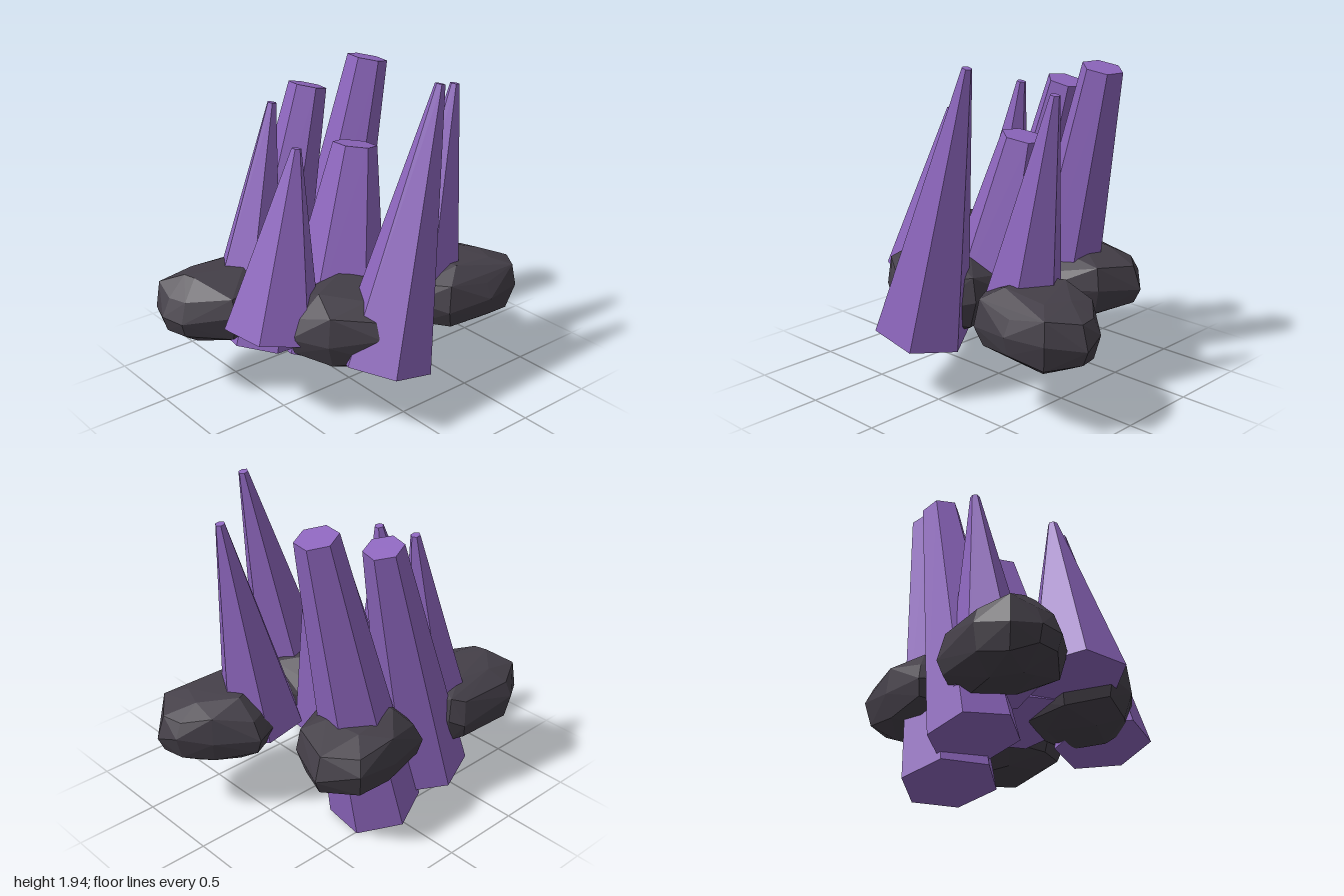
import * as THREE from 'three';
import { ConvexGeometry } from 'three/addons/geometries/ConvexGeometry.js';

const UP = new THREE.Vector3(0, 1, 0);

// Six-sided tapering crystal running from base centre to top centre, turned about its own axis
function crystal(name, base, top, rBase, rTop, turnDeg, material) {
  const a = new THREE.Vector3(...base);
  const b = new THREE.Vector3(...top);
  const axis = b.clone().sub(a);
  const geometry = new THREE.CylinderGeometry(rTop, rBase, axis.length(), 6);
  geometry.rotateY(THREE.MathUtils.degToRad(turnDeg));
  const mesh = new THREE.Mesh(geometry, material);
  mesh.name = name;
  mesh.quaternion.setFromUnitVectors(UP, axis.normalize());
  mesh.position.copy(a.add(b).multiplyScalar(0.5));
  return mesh;
}

// Faceted boulder: a plan outline stacked as shrinking rings, wrapped in a convex hull
function boulder(name, outline, yMin, yMax, material) {
  const n = outline.length;
  const cx = outline.reduce((s, p) => s + p[0], 0) / n;
  const cz = outline.reduce((s, p) => s + p[1], 0) / n;
  const midY = (yMin + yMax) / 2;
  const half = (yMax - yMin) / 2;
  const rings = [[-0.95, 0.52], [-0.58, 0.88], [0, 1], [0.58, 0.89], [0.95, 0.52]];
  const points = [];
  rings.forEach(([h, scale], r) => {
    for (let i = 0; i < n; i++) {
      // thin out the caps and wobble each ring so the facets stay irregular
      if ((r === 0 || r === 4) && (i + r) % 2) continue;
      const wobble = Math.sin(i * 2.4 + r * 1.7);
      const k = r === 2 ? 1 : scale + 0.04 * wobble;
      const y = midY + half * THREE.MathUtils.clamp(h + 0.12 * wobble, -1, 1);
      points.push(new THREE.Vector3(cx + (outline[i][0] - cx) * k, y, cz + (outline[i][1] - cz) * k));
    }
  });
  const mesh = new THREE.Mesh(new ConvexGeometry(points), material);
  mesh.name = name;
  return mesh;
}

export function createModel() {
  const purple = new THREE.MeshStandardMaterial({ color: 0x8d66bd, flatShading: true });
  purple.name = 'crystal purple';
  const charcoal = new THREE.MeshStandardMaterial({ color: 0x443f48, flatShading: true });
  charcoal.name = 'charcoal rock';

  const model = new THREE.Group();
  model.name = 'crystalCluster';

  // Blunt crystals, then pointed ones: base, top, base radius, top radius, turn
  const crystals = [
    ['bluntCrystalTall', [0.03, 0.058, -0.408], [0.447, 1.872, -0.37], 0.27, 0.12, -8],
    ['bluntCrystalBack', [-0.33, 0.197, -0.463], [0.083, 1.745, -0.485], 0.252, 0.113, -12],
    ['bluntCrystalMiddle', [-0.09, 0.44, -0.03], [0.115, 1.478, -0.085], 0.312, 0.13, -5],
    ['pointedCrystalRight', [-0.568, 0.54, 0.01], [-0.375, 1.585, 0.007], 0.282, 0.028, 8],
    ['pointedCrystalBackRight', [-0.46, 0.42, -0.43], [-0.22, 1.71, -0.425], 0.24, 0.028, 28],
    ['pointedCrystalFront', [-0.145, 0.39, 0.48], [0.232, 1.94, 0.478], 0.28, 0.029, 33],
    ['pointedCrystalLeft', [0.365, 0.5, 0.215], [0.607, 1.813, 0.213], 0.25, 0.028, 30],
  ];
  for (const c of crystals) model.add(crystal(...c, purple));

  // Boulders: plan outline as [x, z], then lowest and highest y
  const boulders = [
    ['boulderFrontLeft', [[0.6, -0.06], [0.82, 0.1], [0.97, 0.24], [1, 0.38], [0.85, 0.55],
      [0.6, 0.59], [0.32, 0.53], [0.2, 0.35], [0.26, 0.1]], 0.365, 0.785],
    ['boulderBackRight', [[-1, -0.47], [-0.95, -0.62], [-0.78, -0.73], [-0.38, -0.72], [-0.31, -0.66],
      [-0.3, -0.4], [-0.42, -0.22], [-0.72, -0.14], [-0.96, -0.33]], 0.36, 0.79],
    ['boulderBackLeft', [[-0.08, -0.67], [0.2, -0.73], [0.47, -0.735], [0.63, -0.55], [0.53, -0.28],
      [0.25, -0.09], [0, -0.15], [-0.13, -0.4]], 0.37, 0.79],
    ['boulderFrontRight', [[-0.61, 0.22], [-0.5, 0.43], [-0.26, 0.61], [0, 0.55], [0.17, 0.36],
      [0.15, 0.1], [-0.1, -0.05], [-0.45, 0]], 0.365, 0.81],
  ];
  for (const b of boulders) model.add(boulder(...b, charcoal));

  return model;
}
